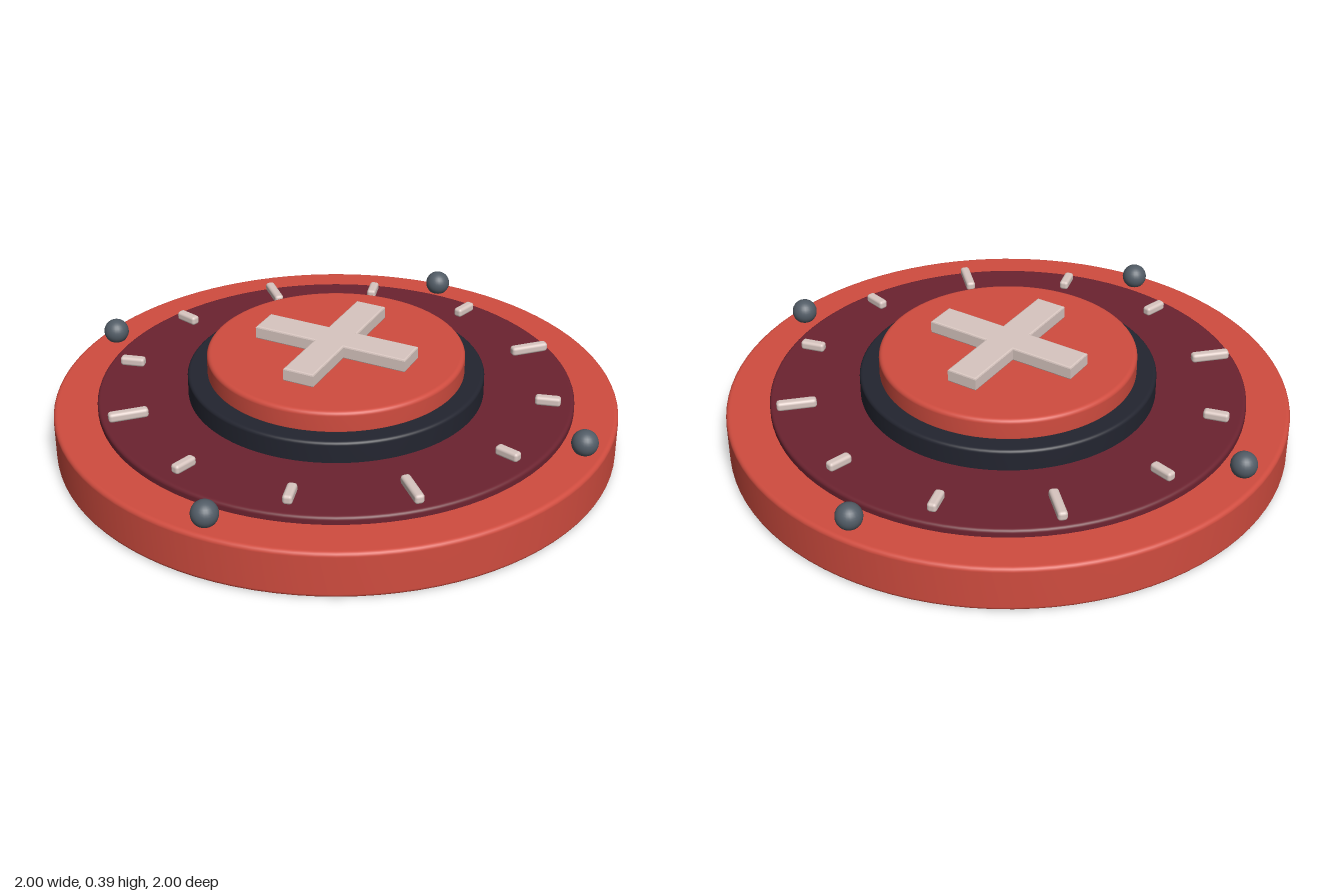
import * as THREE from 'three';
import { RoundedBoxGeometry } from 'three/addons/geometries/RoundedBoxGeometry.js';

const paint = (name, color) => {
  const m = new THREE.MeshStandardMaterial({ color });
  m.name = name;
  return m;
};

// Solid disc with rounded rims, turned from a half profile
function disc(radius, bottom, top, bevel) {
  const pts = [new THREE.Vector2(0, bottom), new THREE.Vector2(radius - bevel - 0.003, bottom)];
  const arc = (cy, start) => {
    for (let i = 0; i <= 6; i++) {
      const a = start + (i / 6) * Math.PI / 2;
      pts.push(new THREE.Vector2(radius - bevel + bevel * Math.cos(a), cy + bevel * Math.sin(a)));
    }
  };
  arc(bottom + bevel, -Math.PI / 2);
  arc(top - bevel, 0);
  pts.push(new THREE.Vector2(radius - bevel - 0.003, top), new THREE.Vector2(0, top));
  return new THREE.LatheGeometry(pts, 96);
}

// One-piece cross with bevelled edges, lying flat
function crossGeometry(length, width, height, bevel) {
  const l = length - bevel, w = width - bevel;
  const shape = new THREE.Shape([
    [w, w], [w, l], [-w, l], [-w, w], [-l, w], [-l, -w],
    [-w, -w], [-w, -l], [w, -l], [w, -w], [l, -w], [l, w],
  ].map(([x, y]) => new THREE.Vector2(x, y)));
  const g = new THREE.ExtrudeGeometry(shape, {
    depth: height - 2 * bevel, bevelThickness: bevel, bevelSize: bevel, bevelSegments: 2,
  });
  return g.translate(0, 0, bevel).rotateX(-Math.PI / 2).rotateY(Math.PI / 4);
}

export function createModel() {
  const model = new THREE.Group();
  model.name = 'dialButton';
  const red = paint('red', 0xd04c3f);
  const maroon = paint('maroon', 0x6c2330);
  const black = paint('blueBlack', 0x232530);
  const bone = paint('paleBone', 0xd8c6c0);
  const steel = paint('steelGrey', 0x525c66);

  const add = (name, geometry, material, x = 0, y = 0, z = 0) => {
    const mesh = new THREE.Mesh(geometry, material);
    mesh.name = name;
    mesh.position.set(x, y, z);
    model.add(mesh);
    return mesh;
  };

  // Stacked discs
  add('base', disc(1, 0, 0.168, 0.015), red);
  add('dialFace', disc(0.845, 0.15, 0.195, 0.012), maroon);
  add('collar', disc(0.525, 0.18, 0.272, 0.012), black);
  add('button', disc(0.455, 0.26, 0.345, 0.015), red);

  // Raised cross on the button
  add('cross', crossGeometry(0.29, 0.057, 0.05, 0.006), bone, 0, 0.342, 0);

  // Twelve markers, longer at the quarters
  const longMark = new RoundedBoxGeometry(0.14, 0.034, 0.034, 2, 0.011);
  const shortMark = new RoundedBoxGeometry(0.09, 0.034, 0.034, 2, 0.011);
  for (let i = 0; i < 12; i++) {
    const a = i * Math.PI / 6;
    const mark = add('marker' + (i + 1), i % 3 ? shortMark : longMark, bone,
      0.753 * Math.cos(a), 0.216, -0.753 * Math.sin(a));
    mark.rotation.y = a;
  }

  // Four round studs on the rim
  const stud = new THREE.SphereGeometry(0.046, 24, 16);
  for (const x of [-1, 1]) for (const z of [-1, 1]) {
    add('rimStud', stud, steel, x * 0.656, 0.203, z * 0.656);
  }
  return model;
}
